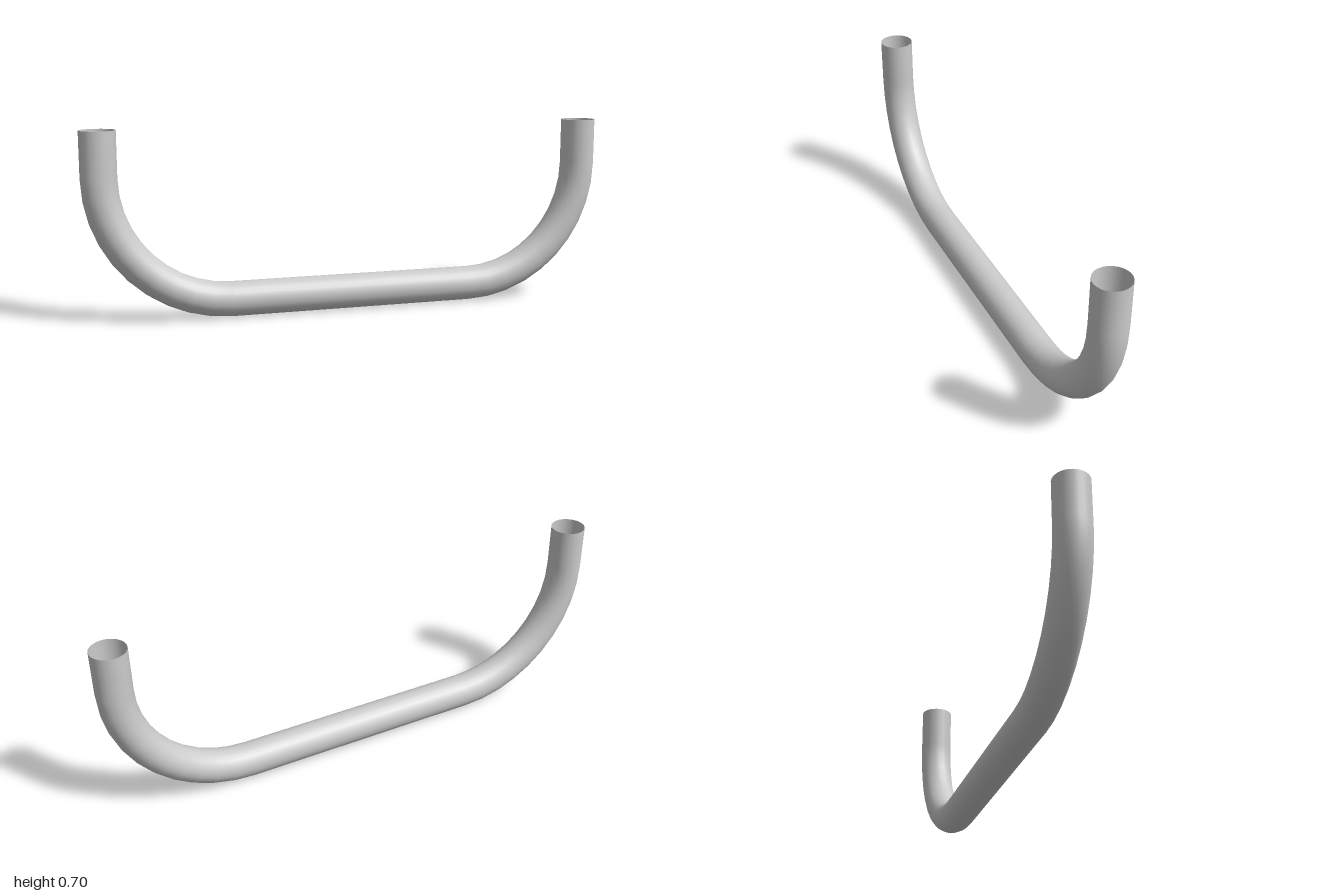
import * as THREE from 'three';

const R = 0.065;      // tube radius
const BEND = 0.465;   // bend radius along the centreline
const HEIGHT = 0.7;
const SIDES = 24;

export function createModel() {
  const group = new THREE.Group();
  group.name = 'tubeHandle';
  const material = new THREE.MeshStandardMaterial({ color: 0xcccccc, side: THREE.DoubleSide });

  const add = (name, geometry, x, y, rotZ = 0) => {
    const mesh = new THREE.Mesh(geometry, material);
    mesh.name = name;
    mesh.position.set(x, y, 0);
    mesh.rotation.z = rotZ;
    group.add(mesh);
  };

  const legX = 1 - R;
  const bendX = legX - BEND;
  const bendY = R + BEND;

  // Straight grip, open where it meets the bends
  add('grip', new THREE.CylinderGeometry(R, R, 2 * bendX, SIDES, 1, true), 0, R, Math.PI / 2);

  // Quarter bends and hollow upright ends
  const bend = new THREE.TorusGeometry(BEND, R, SIDES, 10, Math.PI / 2);
  const leg = new THREE.CylinderGeometry(R, R, HEIGHT - bendY, SIDES, 1, true);
  for (const [side, s] of [['left', 1], ['right', -1]]) {
    add(side + 'Bend', bend, s * bendX, bendY, s > 0 ? -Math.PI / 2 : Math.PI);
    add(side + 'Leg', leg, s * legX, (HEIGHT + bendY) / 2);
  }
  return group;
}
